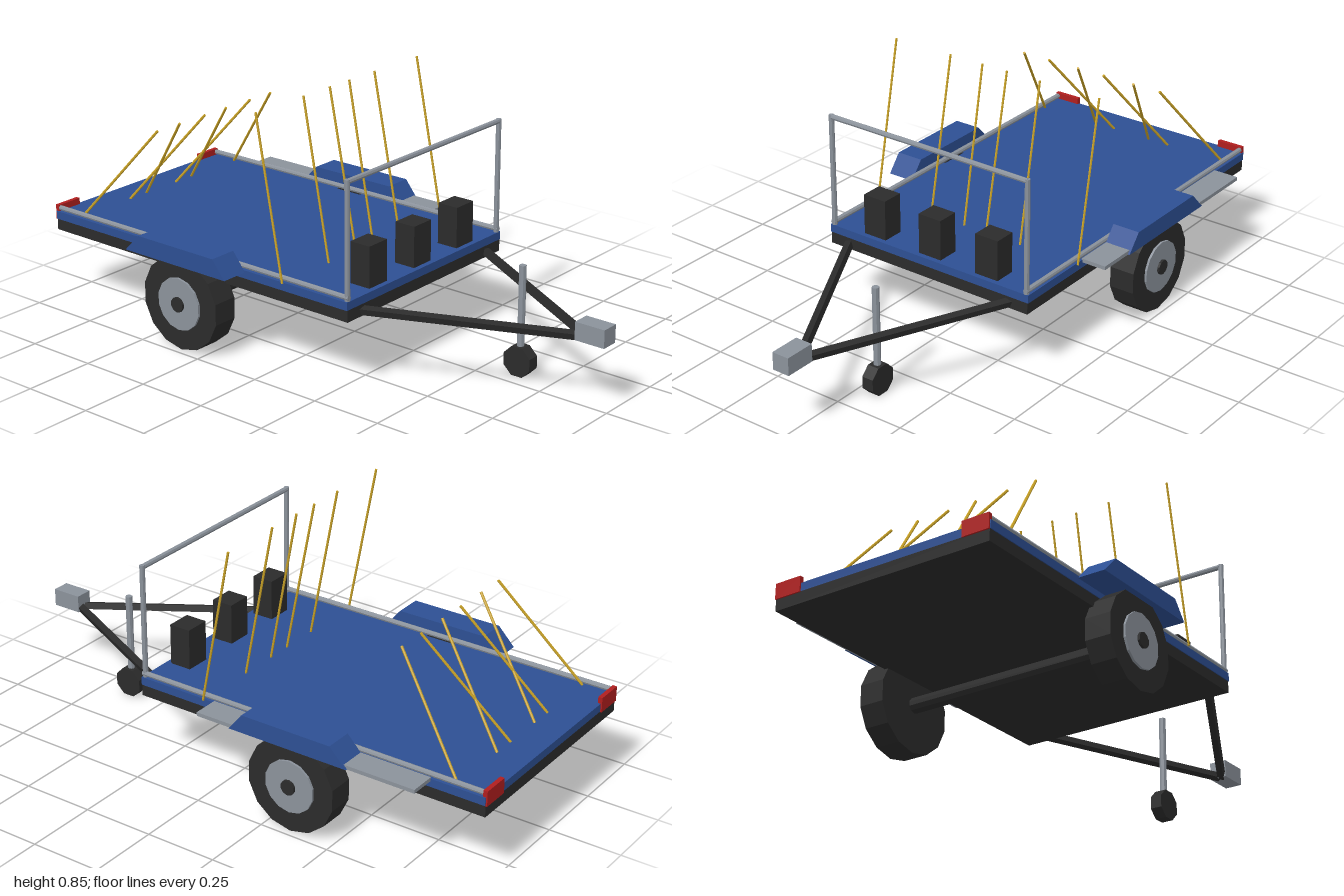
import * as THREE from 'three';

const mat = (name, color) => {
  const m = new THREE.MeshStandardMaterial({ color });
  m.name = name;
  m.flatShading = true;
  return m;
};

export function createModel() {
  const root = new THREE.Group();
  root.name = 'flatbedTrailer';
  const blue = mat('bluePaint', 0x2d4f93);
  const grey = mat('galvanisedSteel', 0x8b929b);
  const black = mat('blackRubber', 0x2b2b2b);
  const red = mat('redLamp', 0xb01e1e);
  const yellow = mat('yellowStrap', 0xc9a227);

  const add = (name, geo, material) => {
    const mesh = new THREE.Mesh(geo, material);
    mesh.name = name;
    root.add(mesh);
    return mesh;
  };
  // Box given by its minimum and maximum corners
  const box = (name, m, [x0, y0, z0], [x1, y1, z1]) =>
    add(name, new THREE.BoxGeometry(x1 - x0, y1 - y0, z1 - z0), m)
      .position.set((x0 + x1) / 2, (y0 + y1) / 2, (z0 + z1) / 2);
  // Straight bar between two points
  const bar = (name, m, a, b, r, sides = 8) => {
    const p = new THREE.Vector3(...a), q = new THREE.Vector3(...b);
    const d = q.clone().sub(p);
    const mesh = add(name, new THREE.CylinderGeometry(r, r, d.length(), sides), m);
    mesh.position.copy(p).add(q).multiplyScalar(0.5);
    mesh.quaternion.setFromUnitVectors(new THREE.Vector3(0, 1, 0), d.normalize());
  };
  // Disc with its axis along z
  const disc = (name, m, x, y, z, r, width, sides, turn = 0) => {
    const geo = new THREE.CylinderGeometry(r, r, width, sides).rotateX(Math.PI / 2).rotateZ(turn);
    add(name, geo, m).position.set(x, y, z);
  };

  // Bed
  box('chassis', black, [-0.995, 0.247, -0.4], [0.3, 0.287, 0.4]);
  box('deck', blue, [-0.995, 0.287, -0.403], [0.3, 0.315, 0.403]);

  // Axle
  disc('axle', black, -0.345, 0.165, 0, 0.026, 0.984, 10);

  // Mudguard outline
  const guard = new THREE.Shape([
    [-0.565, 0.307], [-0.125, 0.307], [-0.175, 0.369], [-0.505, 0.369],
  ].map(([x, y]) => new THREE.Vector2(x, y)));

  for (const s of [1, -1]) {
    // Wheels
    disc('tyre', black, -0.345, 0.165, s * 0.431, 0.162, 0.09, 14);
    disc('wheelHub', grey, -0.345, 0.165, s * 0.462, 0.091, 0.044, 14);
    const geo = new THREE.ExtrudeGeometry(guard, { depth: 0.098, bevelEnabled: false });
    add('mudguard', geo, blue).position.z = s > 0 ? 0.4 : -0.498;
    // Side rails and hoop posts
    bar('sideRail', grey, [-0.985, 0.326, s * 0.392], [0.3, 0.326, s * 0.392], 0.009);
    bar('hoopPost', grey, [0.292, 0.315, s * 0.391], [0.292, 0.712, s * 0.391], 0.009);
    // Tail lamps
    const z = [s * 0.303, s * 0.4].sort((a, b) => a - b);
    box('tailLamp', red, [-1, 0.285, z[0]], [-0.985, 0.337, z[1]]);
    // Drawbar arms
    bar('drawbarArm', black, [0.285, 0.266, s * 0.333], [0.91, 0.238, s * 0.004], 0.016, 4);
    // Leaning straps at the front and rear
    for (const [z0, z1] of [[0.411, 0.406], [0.183, 0.179], [0.045, 0.049]])
      bar('frontStrap', yellow, [0.042, 0.315, s * z0], [-0.063, 0.857, s * z1], 0.004, 6);
    for (const [z0, z1] of [[0.381, 0.282], [0.154, 0.053], [0.074, 0.176]])
      bar('rearStrap', yellow, [-0.887, 0.315, s * z0], [-0.615, 0.651, s * z1], 0.0045, 6);
  }
  bar('hoopTop', grey, [0.292, 0.705, -0.391], [0.292, 0.705, 0.391], 0.009);

  // Side step plate on one side
  box('stepPlate', grey, [-0.805, 0.306, -0.491], [0.005, 0.319, -0.4]);

  // Black blocks at the headboard
  for (const z of [-0.227, 0, 0.227])
    box('block', black, [0.205, 0.315, z - 0.044], [0.282, 0.456, z + 0.044]);

  // Coupling and jockey wheel
  box('coupling', grey, [0.893, 0.229, -0.031], [1, 0.29, 0.031]);
  bar('jockeyShaft', grey, [0.63, 0.06, -0.064], [0.63, 0.38, -0.064], 0.012);
  disc('jockeyWheel', black, 0.63, 0.055, -0.064, 0.054, 0.042, 8, Math.PI / 8);

  return root;
}
